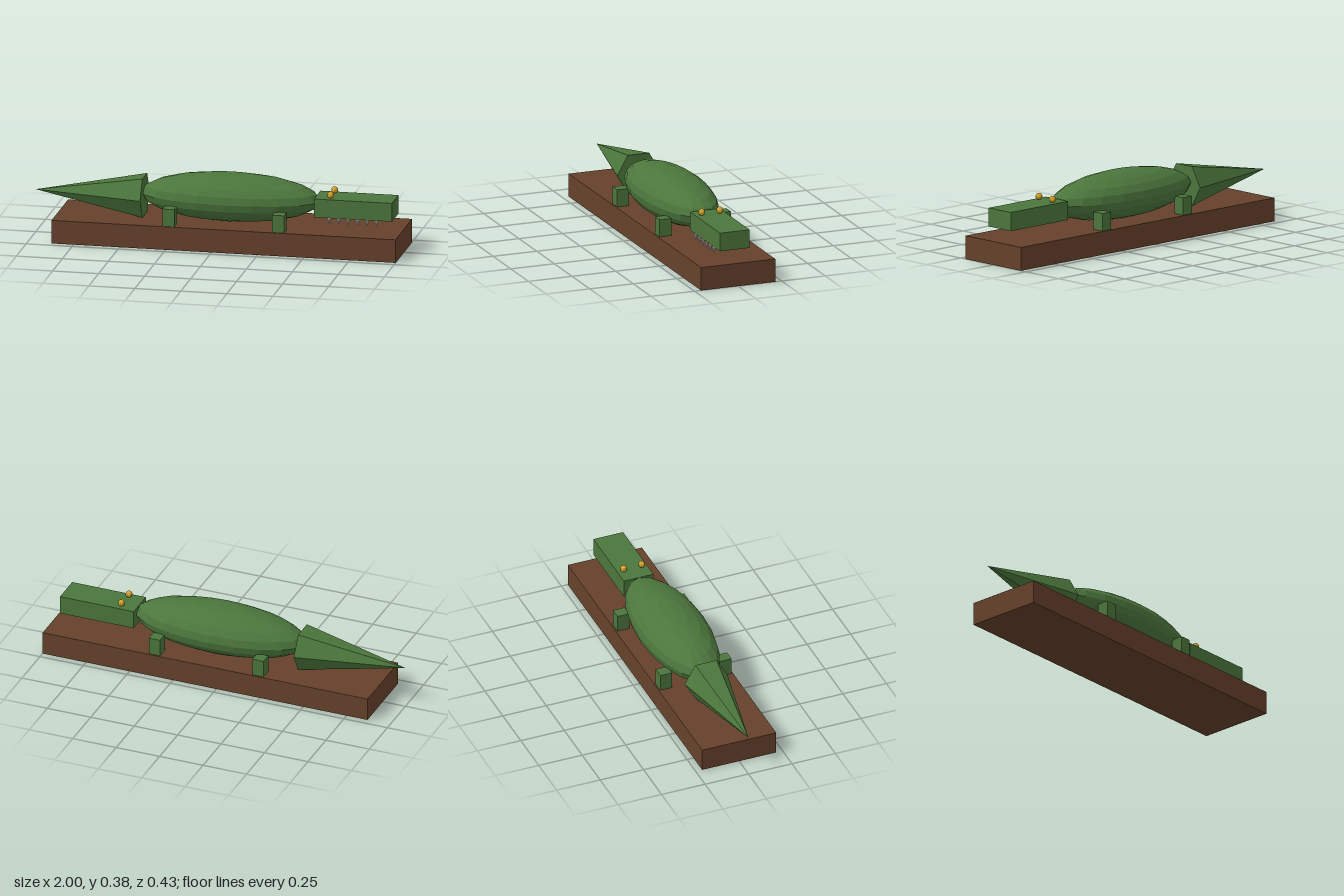
import * as THREE from 'three';

const mat = (name, color) => {
  const m = new THREE.MeshStandardMaterial({ color, flatShading: true });
  m.name = name;
  return m;
};

export function createModel() {
  const green = mat('green skin', 0x4b763c);
  const brown = mat('brown wood', 0x65412b);
  const amber = mat('amber eyes', 0xd6a52c);
  const ivory = mat('ivory teeth', 0xe4dad6);

  const group = new THREE.Group();
  const add = (name, geometry, material, x, y, z) => {
    const mesh = new THREE.Mesh(geometry, material);
    mesh.name = name;
    mesh.position.set(x, y, z);
    group.add(mesh);
    return mesh;
  };

  // Plinth
  add('base', new THREE.BoxGeometry(1.87, 0.127, 0.426), brown, 0.065, 0.0635, 0);

  // Faceted ellipsoid body with its poles up
  const body = new THREE.SphereGeometry(1, 20, 10).scale(0.488, 0.128, 0.187);
  add('body', body, green, 0.06, 0.255, 0);

  // Six-sided tail tapering to -x
  const tail = new THREE.ConeGeometry(0.123, 0.592, 6).rotateZ(Math.PI / 2);
  add('tail', tail, green, -0.704, 0.234, 0);

  // Long box head
  add('head', new THREE.BoxGeometry(0.424, 0.101, 0.17), green, 0.741, 0.24, 0);

  // Paired legs and eyes
  const leg = new THREE.BoxGeometry(0.064, 0.095, 0.068);
  const eye = new THREE.SphereGeometry(0.0185, 12, 8);
  for (const side of [1, -1]) {
    const label = side > 0 ? 'Front' : 'Back';
    add('rearLeg' + label, leg, green, -0.236, 0.1745, side * 0.171);
    add('foreLeg' + label, leg, green, 0.36, 0.1745, side * 0.171);
    add('eye' + label, eye, amber, 0.613, 0.309, side * 0.052);
  }

  // One row of teeth along the +z edge of the jaw
  const tooth = new THREE.ConeGeometry(0.0125, 0.034, 8).rotateX(Math.PI);
  for (let i = 0; i < 6; i++) {
    add('tooth' + (i + 1), tooth, ivory, 0.613 + i * 0.0512, 0.172, 0.085);
  }
  return group;
}
